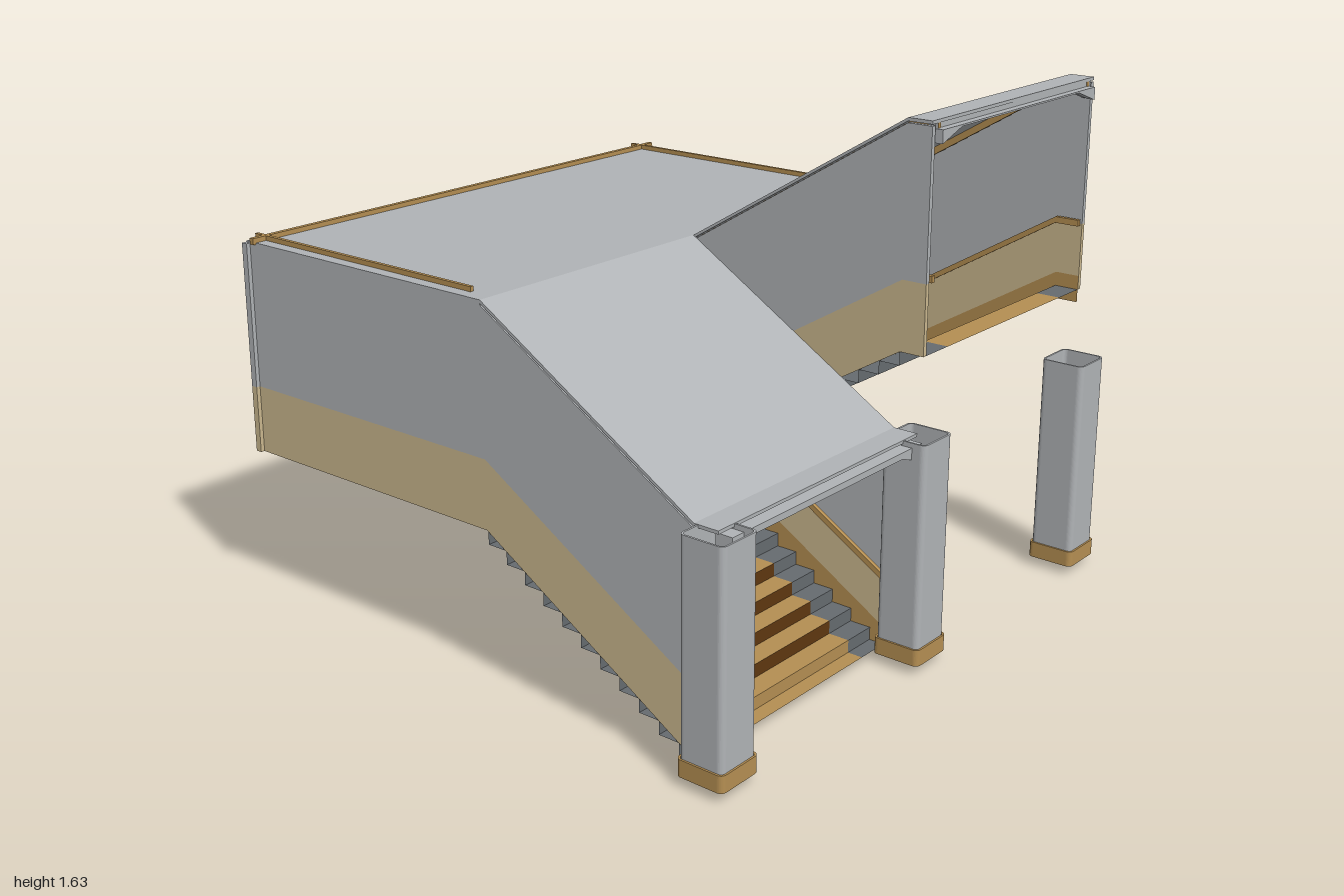
import * as THREE from 'three';

const mat = (name, color, side = THREE.FrontSide) => {
  const m = new THREE.MeshStandardMaterial({ color, side });
  m.name = name;
  return m;
};

export function createModel() {
  const model = new THREE.Group();
  const gray = mat('pale gray panel', 0xb0b3b6);
  const tan = mat('sand panel', 0xcbb88f);
  const trim = mat('ochre trim', 0xb48e52, THREE.DoubleSide);
  const skirtTrim = mat('ochre skirting', 0xb48e52);
  const brown = mat('dark brown riser', 0x5e3710, THREE.DoubleSide);
  const dark = mat('slate edge', 0x666b6f, THREE.DoubleSide);

  const add = (name, geo, m, parent = model) => {
    const mesh = new THREE.Mesh(geo, m);
    mesh.name = name;
    parent.add(mesh);
    return mesh;
  };
  const group = (name) => {
    const g = new THREE.Group();
    g.name = name;
    model.add(g);
    return g;
  };
  const box = (name, x0, x1, y0, y1, z0, z1, m, parent) =>
    add(name, new THREE.BoxGeometry(x1 - x0, y1 - y0, z1 - z0)
      .translate((x0 + x1) / 2, (y0 + y1) / 2, (z0 + z1) / 2), m, parent);

  // Floor lines as [z, y]; walls, rails and roofs run parallel to them
  const F = 0.465, TOP = 0.925, BACK = -0.96, BEND = 0.045;
  const lower = [[0.8, 0.012], [BEND, F]];
  const upper = [[0.89, TOP], [0.81, TOP], [BEND, F]];
  const landing = [[BEND, F], [BACK, F]];
  const outline = (line, lo, hi, flip = 1) => new THREE.Shape([
    ...line.map(([z, y]) => new THREE.Vector2(z * flip, y + lo)),
    ...line.slice().reverse().map(([z, y]) => new THREE.Vector2(z * flip, y + hi)),
  ]);
  // Solid strip following a floor line, between two heights, spanning x0..x1
  const band = (name, line, lo, hi, x0, x1, m, parent) =>
    add(name, new THREE.ExtrudeGeometry(outline(line, lo, hi), { depth: x1 - x0, bevelEnabled: false })
      .rotateY(-Math.PI / 2).translate(x1, 0, 0), m, parent);
  // One-sided strip on a wall, facing +x or -x
  const face = (name, line, lo, hi, x, dir, m) =>
    add(name, new THREE.ShapeGeometry(outline(line, lo, hi, -dir))
      .rotateY(dir * Math.PI / 2).translate(x, 0, 0), m);

  // Side and dividing walls, sand below and gray above
  const wall = (name, line, x0, x1) => {
    band(name + 'LowerPanel', line, 0, 0.215, x0, x1, tan);
    band(name + 'UpperPanel', line, 0.215, 0.665, x0, x1, gray);
  };
  wall('rightSideWall', [...lower, landing[1]], -0.92, -0.905);
  wall('leftSideWall', [...upper, landing[1]], 0.905, 0.92);
  wall('lowerDividingWall', lower, -0.015, 0);
  wall('upperDividingWall', upper, 0, 0.015);
  box('backWallLowerPanel', -0.92, 0.92, F, 0.68, BACK, BACK + 0.015, tan);
  box('backWallUpperPanel', -0.92, 0.92, 0.68, 1.13, BACK, BACK + 0.015, gray);
  for (const s of [-1, 1]) {
    box('cornerPostBase', s * 0.922 - 0.011, s * 0.922 + 0.011, F, 0.68, -0.965, -0.943, tan);
    box('cornerPost', s * 0.922 - 0.011, s * 0.922 + 0.011, 0.68, 1.14, -0.965, -0.943, gray);
  }
  box('centreColumn', -0.045, 0.045, F, 1.135, -0.045, 0.045, gray);

  // Roof sheets
  band('lowerRoof', [[0.88, 0.012], ...lower], 0.67, 0.68, -0.92, 0, gray);
  band('upperRoof', upper, 0.67, 0.68, 0, 0.92, gray);
  band('landingRoof', landing, 0.665, 0.68, -0.92, 0.92, gray);

  // Cornice strips, handrails and skirtings on each flight
  const flightTrim = (line, xa, xb) => {
    for (const [x, dir] of [[xa, 1], [xb, -1]]) {
      const strip = (name, lo, hi, a, b) =>
        band(name, line, lo, hi, Math.min(x + dir * a, x + dir * b), Math.max(x + dir * a, x + dir * b), trim);
      strip('cornice', 0.645, 0.67, 0.015, 0.027);
      strip('handrail', 0.212, 0.232, 0.014, 0.028);
      face('skirting', line, -0.042, 0.045, x + dir * 0.002, dir, skirtTrim);
    }
  };
  flightTrim(lower, -0.905, -0.015);
  flightTrim(upper, 0.015, 0.905);
  for (const s of [-1, 1]) {
    box('roofSideStrip', s * 0.875 - 0.006, s * 0.875 + 0.006, 1.14, 1.16, -0.965, -0.03, trim);
    face('landingSkirting', landing, 0, 0.045, s * 0.903, -s, skirtTrim);
  }
  box('roofBackStrip', -0.93, 0.93, 1.14, 1.16, -0.93, -0.914, trim);
  box('backSkirting', -0.9, 0.9, F, 0.51, -0.945, -0.94, trim);

  // Arched headers over the openings
  const header = (name, xa, xb, y, z0, z1, h) => {
    const pts = [[xa, y], [xa + 0.1, y + 0.035], [xb - 0.1, y + 0.035], [xb, y], [xb, y + h], [xa, y + h]];
    add(name, new THREE.ExtrudeGeometry(new THREE.Shape(pts.map((p) => new THREE.Vector2(...p))),
      { depth: z1 - z0, bevelEnabled: false }).translate(0, 0, z0), gray);
  };
  header('upperFrontHeader', 0.02, 0.9, 1.54, 0.865, 0.888, 0.058);
  header('upperFrontLip', 0.02, 0.89, 1.54, 0.888, 0.912, 0.04);
  header('lowerFrontHeader', -0.9, -0.02, 0.62, 0.855, 0.91, 0.055);
  header('upperInnerHeader', 0.03, 0.9, 1.085, 0.0, 0.03, 0.05);
  header('lowerInnerHeader', -0.9, -0.03, 1.085, 0.0, 0.03, 0.05);

  // Folded-sheet stairs and floors
  const flat = (name, x0, x1, z0, z1, y, m, parent) =>
    add(name, new THREE.PlaneGeometry(x1 - x0, z1 - z0).rotateX(-Math.PI / 2)
      .translate((x0 + x1) / 2, y, (z0 + z1) / 2), m, parent);
  const upright = (name, x0, x1, y0, y1, z, m, parent) =>
    add(name, new THREE.PlaneGeometry(x1 - x0, y1 - y0)
      .translate((x0 + x1) / 2, (y0 + y1) / 2, z), m, parent);
  const STEPS = 11, RUN = 0.07;
  const flight = (name, xs, y0, rise, z0, dir) => {
    const g = group(name);
    for (let i = 0; i < STEPS; i++) {
      const z = z0 + dir * RUN * i, y = y0 + rise * i;
      for (let k = 0; k < 3; k++) {
        const centre = k === 1;
        upright('riser', xs[k], xs[k + 1], y, y + rise, z, centre ? (i ? brown : trim) : dark, g);
        if (i < STEPS - 1) {
          const z2 = z + dir * RUN;
          flat('tread', xs[k], xs[k + 1], Math.min(z, z2), Math.max(z, z2), y + rise, centre ? trim : dark, g);
        }
      }
    }
  };
  const xl = [-0.92, -0.785, -0.13, 0], xu = [0, 0.13, 0.785, 0.92];
  flight('lowerStairs', xl, 0, F / STEPS, 0.75, -1);
  flight('upperStairs', xu, F, (TOP - F) / STEPS, 0.11, 1);
  for (let k = 0; k < 3; k++) {
    flat('entranceFloor', xl[k], xl[k + 1], 0.75, 0.8, 0.002, k === 1 ? trim : dark);
    flat('exitFloor', xu[k], xu[k + 1], 0.81, 0.89, TOP, k === 1 ? trim : dark);
  }
  const floor = group('landingFloor');
  for (const [x0, x1, z0, z1, m] of [
    [-0.785, 0.785, -0.825, -0.09, trim],
    [-0.785, -0.13, -0.09, 0.05, trim],
    [0.13, 0.785, -0.09, 0.11, trim],
    [-0.92, 0.92, BACK, -0.825, dark],
    [-0.92, -0.785, -0.825, 0.05, dark],
    [0.785, 0.92, -0.825, 0.11, dark],
    [-0.13, 0.13, -0.09, 0.05, dark],
    [0, 0.13, 0.05, 0.11, dark],
  ]) flat('floorPanel', x0, x1, z0, z1, F, m, floor);

  // Hollow front pillars with rounded corners
  const rounded = (h, r, Type) => {
    const p = new Type();
    p.moveTo(h, -h + r);
    p.absarc(h - r, h - r, r, 0, Math.PI / 2);
    p.absarc(-h + r, h - r, r, Math.PI / 2, Math.PI);
    p.absarc(-h + r, -h + r, r, Math.PI, Math.PI * 1.5);
    p.absarc(h - r, -h + r, r, Math.PI * 1.5, Math.PI * 2);
    return p;
  };
  const tube = (h, y0, y1) => {
    const s = rounded(h, 0.018, THREE.Shape);
    s.holes.push(rounded(h - 0.006, 0.013, THREE.Path));
    return new THREE.ExtrudeGeometry(s, { depth: y1 - y0, bevelEnabled: false, curveSegments: 4 })
      .rotateX(-Math.PI / 2).translate(0, y0, 0);
  };
  for (const x of [-0.92, 0, 0.92]) {
    const g = group('frontPillar');
    g.position.set(x, 0, 0.881);
    add('pillarShaft', tube(0.073, 0.05, 0.69), gray, g);
    add('pillarBase', tube(0.079, 0, 0.052), trim, g);
  }
  return model;
}
